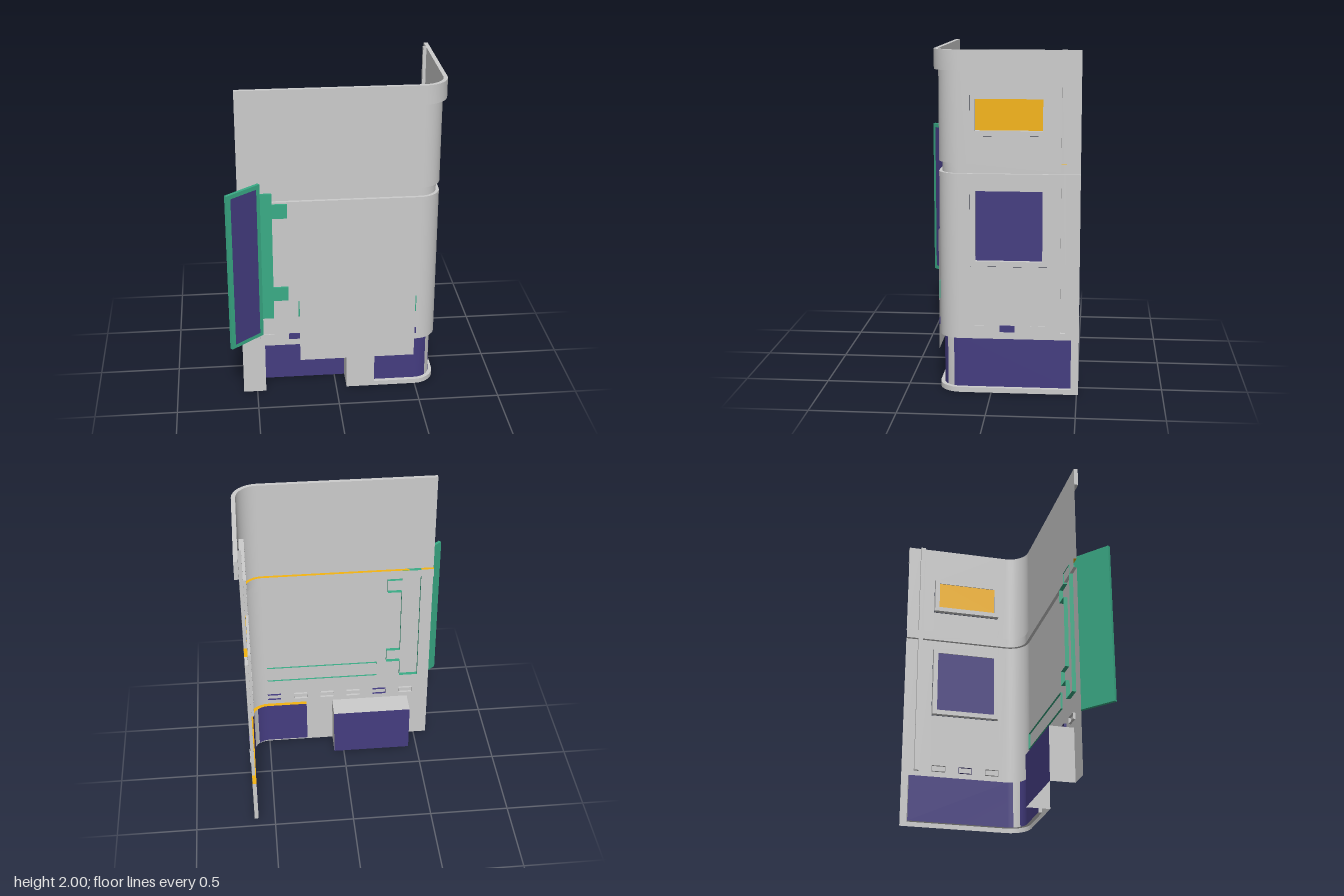
import * as THREE from 'three';

const mat = (color) => new THREE.MeshStandardMaterial({ color, side: THREE.DoubleSide });
const grey = mat(0xcccccc), blue = mat(0x443c80), green = mat(0x3aab86), orange = mat(0xf4b412);

// Wall line: front straight, rounded corner, then right-hand straight
const X0 = -0.585, R = 0.13, CX = 0.5, CZ = 0.18, Z1 = -0.51;
const L1 = CX - X0, ARC = R * Math.PI / 2, END = L1 + ARC + CZ - Z1;
const sX = (x) => x - X0;                       // distance along the line at a front x
const sZ = (z) => L1 + ARC + CZ - z;            // distance along the line at a side z
const sA = (deg) => L1 + ARC * deg / 90;        // distance along the line in the corner

// Point on the wall line, pushed outward by off
function point(s, off, y) {
  if (s <= L1) return [X0 + s, y, CZ + R + off];
  if (s >= L1 + ARC) return [CX + R + off, y, CZ - (s - L1 - ARC)];
  const a = (s - L1) / R;
  return [CX + Math.sin(a) * (R + off), y, CZ + Math.cos(a) * (R + off)];
}

// Surface through a grid of points
function surface(rows) {
  const n = rows[0].length, index = [];
  for (let r = 0; r < rows.length - 1; r++) {
    for (let c = 0; c < n - 1; c++) {
      const a = r * n + c;
      index.push(a, a + 1, a + n, a + 1, a + n + 1, a + n);
    }
  }
  const g = new THREE.BufferGeometry();
  g.setAttribute('position', new THREE.Float32BufferAttribute(rows.flat(2), 3));
  g.setIndex(index);
  g.computeVertexNormals();
  return g;
}

function add(parent, name, geometry, material = grey) {
  const m = new THREE.Mesh(geometry, material);
  m.name = name;
  parent.add(m);
  return m;
}

// Strip along the wall line for each step of an [offset, y] profile
function strip(parent, name, s0, s1, profile, material = grey) {
  const stops = [s0];
  for (let i = 0; i <= 8; i++) {
    const s = L1 + ARC * i / 8;
    if (s > s0 + 1e-4 && s < s1 - 1e-4) stops.push(s);
  }
  stops.push(s1);
  for (let i = 0; i < profile.length - 1; i++) {
    const rows = [profile[i], profile[i + 1]].map(([o, y]) => stops.map((s) => point(s, o, y)));
    add(parent, name, surface(rows), material);
  }
}

// Upright side of a recess
function jamb(parent, name, s, y0, y1, depth) {
  add(parent, name, surface([y0, y1].map((y) => [point(s, 0, y), point(s, -depth, y)])));
}

// Open-backed block pushed through the wall, outlined in the wall's own plane
function block(parent, name, pts, back, front, material) {
  const part = new THREE.Group();
  part.name = name;
  const loop = [...pts, pts[0]];
  const sides = surface([back, front].map((z) => loop.map(([x, y]) => [x, y, z]))).toNonIndexed();
  sides.computeVertexNormals();
  add(part, name + 'Sides', sides, material);
  const face = new THREE.ShapeGeometry(new THREE.Shape(pts.map((p) => new THREE.Vector2(...p))));
  add(part, name + 'Face', face.translate(0, 0, front), material);
  parent.add(part);
}
const rect = (x0, x1, y0, y1) => [[x0, y0], [x1, y0], [x1, y1], [x0, y1]];

// Sunken window: raised rim with a pane at the back
function sunkenWindow(parent, name, x0, x1, y0, y1, material) {
  const b = 0.03;
  const vec = (p) => p.map(([x, y]) => new THREE.Vector2(x, y));
  const shape = new THREE.Shape(vec(rect(x0, x1, y0, y1)));
  shape.holes.push(new THREE.Path(vec(rect(x0 + b, x1 - b, y0 + b, y1 - b))));
  const rim = new THREE.ExtrudeGeometry(shape, { depth: 0.031, bevelEnabled: false });
  add(parent, name + 'Frame', rim.translate(0, 0, -0.035));
  const pane = new THREE.PlaneGeometry(x1 - x0 - 2 * b, y1 - y0 - 2 * b);
  add(parent, name + 'Pane', pane.translate((x0 + x1) / 2, (y0 + y1) / 2, -0.03), material);
}

export function createModel() {
  const model = new THREE.Group();
  model.name = 'buildingCorner';

  const doorL = sX(-0.445), doorR = sX(0.065), shopL = sX(0.24), shopR = sZ(-0.465);
  const winL = sZ(0.12), winR = sZ(-0.325), slotL = sZ(-0.4), slotR = sZ(-0.43);

  // Walls around the openings
  const wall = (s0, s1, y0, y1) => strip(model, 'wall', s0, s1, [[0, y0], [0, y1]]);
  wall(0, winL, 0.33, 1.3);
  wall(0, winL, 1.36, 2);
  for (const [y0, y1] of [[0.33, 0.76], [1.23, 1.3], [1.36, 1.515], [1.755, 2]]) wall(winL, winR, y0, y1);
  for (const [a, b] of [[winR, slotL], [slotR, END]]) {
    wall(a, b, 0.33, 1.3);
    wall(a, b, 1.36, 2);
  }
  wall(slotL, slotR, 0.33, 0.37);
  wall(0, doorL, 0, 0.33);
  wall(doorR, shopL, 0, 0.33);
  wall(shopR, END, 0, 0.33);

  // Horizontal groove with a coloured upper edge
  strip(model, 'groove', 0, END, [[0, 1.3], [-0.02, 1.3], [-0.02, 1.36]]);
  strip(model, 'grooveTrim', 0, END, [[-0.02, 1.36], [0, 1.36]], orange);

  // Vertical slot in the side wall
  strip(model, 'slot', slotL, slotR, [[0, 0.37], [-0.02, 0.37], [-0.02, 2]]);
  for (const s of [slotL, slotR]) {
    jamb(model, 'slotSide', s, 0.37, 1.3, 0.02);
    jamb(model, 'slotSide', s, 1.36, 2, 0.02);
  }

  // Cornice
  strip(model, 'cornice', 0, END, [[0, 1.885], [0.025, 1.885], [0.025, 2], [0, 2]]);
  for (const s of [0, END]) jamb(model, 'corniceEnd', s, 1.885, 2, -0.025);

  // Shop windows wrapping the corner
  const d = 0.025, postL = sA(42), postR = sA(68);
  strip(model, 'shopSill', shopL, shopR, [[0, 0], [0, 0.03], [-d, 0.03]]);
  strip(model, 'shopGlassFront', shopL, postL, [[-d, 0.03], [-d, 0.33]], blue);
  strip(model, 'shopPost', postL, postR, [[-d, 0.03], [-d, 0.33]]);
  strip(model, 'shopGlassSide', postR, shopR, [[-d, 0.03], [-d, 0.33]], blue);
  strip(model, 'shopSoffit', shopL, shopR, [[-d, 0.33], [0, 0.33]], orange);
  for (const s of [shopL, shopR]) jamb(model, 'shopJamb', s, 0.03, 0.33, d);

  // Deep entrance recess, open below
  strip(model, 'entranceBack', doorL, doorR, [[-0.15, 0], [-0.15, 0.33]], blue);
  strip(model, 'entranceCeiling', doorL, doorR, [[-0.15, 0.33], [0, 0.33]]);
  for (const s of [doorL, doorR]) jamb(model, 'entranceSide', s, 0, 0.33, 0.15);

  // Wall-plane groups for fittings
  const front = new THREE.Group();
  front.name = 'frontFittings';
  front.position.z = CZ + R;
  const side = new THREE.Group();
  side.name = 'sideFittings';
  side.position.x = CX + R;
  side.rotation.y = Math.PI / 2;
  model.add(front, side);

  // Upper windows
  sunkenWindow(side, 'lowerWindow', -0.12, 0.325, 0.76, 1.23, blue);
  sunkenWindow(side, 'upperWindow', -0.12, 0.325, 1.515, 1.755, orange);

  // Vents
  const vent = (g, x, m) => block(g, 'vent', rect(x - 0.044, x + 0.044, 0.373, 0.411), -0.015, 0.007, m);
  for (let i = 0; i < 6; i++) vent(front, -0.43 + 0.177 * i, i === 1 || i === 5 ? blue : grey);
  for (let i = 0; i < 3; i++) vent(side, -0.083 + 0.177 * i, i === 1 ? blue : grey);

  // Poster board and the rail behind it
  block(front, 'posterRail', rect(-0.234, 0.494, 0.53, 0.635), -0.012, 0.007, green);
  add(front, 'posterBoard', new THREE.PlaneGeometry(0.715, 0.72).translate(0.13, 0.58, 0.01));

  // Sign bracket with two tabs
  block(front, 'signBracket', [
    [-0.505, 0.53], [-0.385, 0.53], [-0.385, 0.65], [-0.295, 0.65], [-0.295, 0.74], [-0.385, 0.74],
    [-0.385, 1.2], [-0.295, 1.2], [-0.295, 1.29], [-0.385, 1.29], [-0.385, 1.36], [-0.505, 1.36],
  ], -0.025, 0.013, green);

  // Angled hanging sign
  const sign = new THREE.Group();
  sign.name = 'sign';
  sign.position.set(-0.556, 0.932, 0.415);
  sign.rotation.y = 0.69;
  add(sign, 'signFrame', new THREE.BoxGeometry(0.25, 1.005, 0.02), green);
  add(sign, 'signFace', new THREE.PlaneGeometry(0.195, 0.955).translate(0, 0, 0.0115), blue);
  model.add(sign);

  return model;
}
